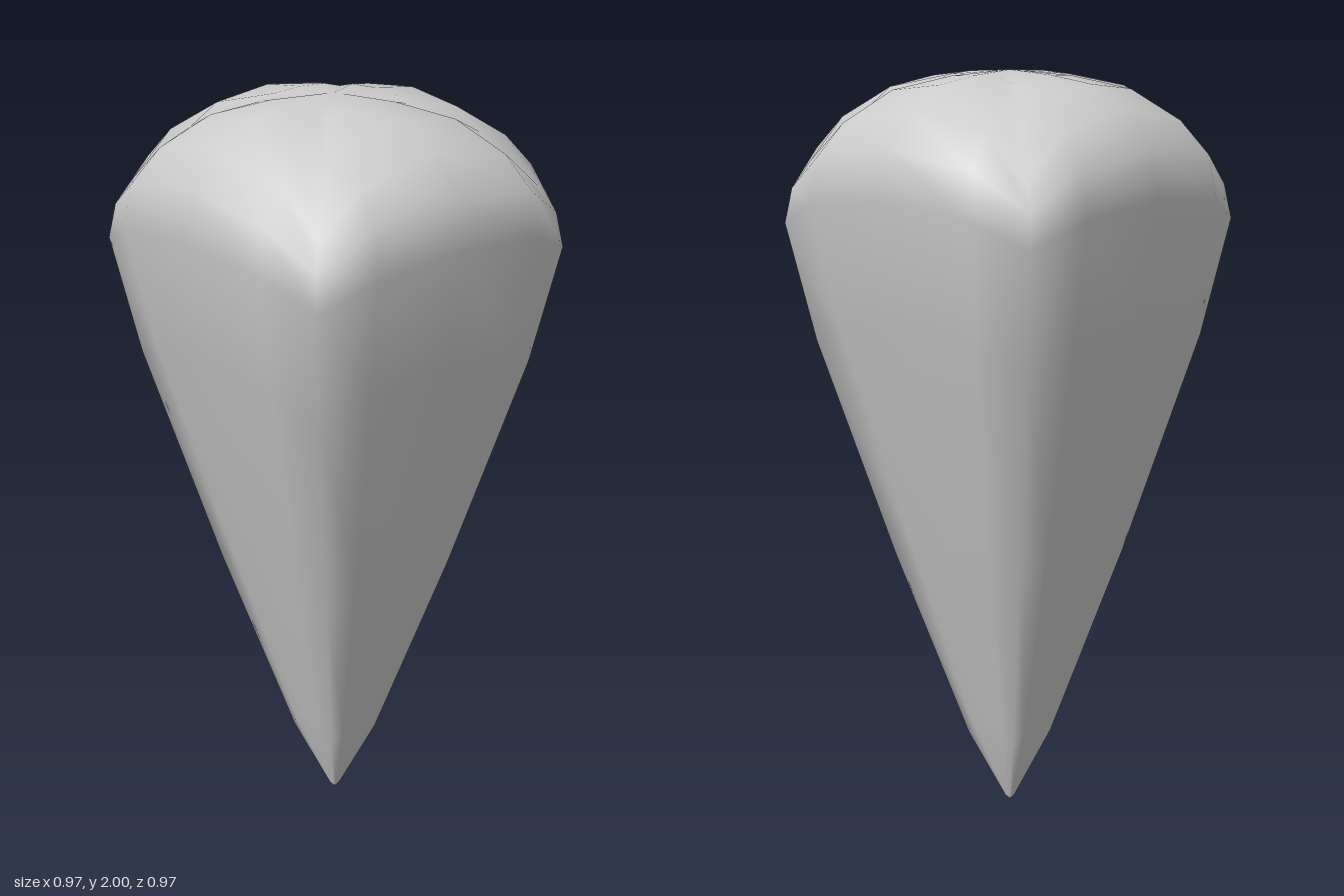
import * as THREE from 'three';

// Rings from top to tip: [side radius, side height, corner offset, corner height]
const RINGS = [
  [0.135, 1.992, 0.13, 1.975],
  [0.265, 1.975, 0.26, 1.905],
  [0.375, 1.92, 0.365, 1.77],
  [0.46, 1.83, 0.4, 1.7],
  [0.483, 1.7, 0.414, 1.61],
  [0.415, 1.38, 0.36, 1.3],
  [0.255, 0.8, 0.217, 0.71],
  [0.1, 0.25, 0.08, 0.2],
  [0.012, 0.015, 0.009, 0.012],
];
const SIDES = 16;

// One rounded-square ring of 16 points whose corners droop below its sides
function ringPoints([r, y, c, cy]) {
  const mix = THREE.MathUtils.lerp;
  const quarter = [
    [r, y, 0],
    [mix(r, c, 0.22), mix(y, cy, 0.3), 0.65 * c],
    [c, cy, c],
    [0.65 * c, mix(y, cy, 0.3), mix(r, c, 0.22)],
  ];
  const points = [];
  for (let q = 0; q < 4; q++) {
    for (const [px, py, pz] of quarter) {
      let x = px, z = pz;
      for (let k = 0; k < q; k++) [x, z] = [-z, x];
      points.push(x, py, z);
    }
  }
  return points;
}

function taperedBody() {
  const positions = [0, 2, 0];
  const index = [];
  for (const ring of RINGS) positions.push(...ringPoints(ring));
  const tip = positions.length / 3;
  positions.push(0, 0, 0);

  const at = (ring, i) => 1 + ring * SIDES + (i % SIDES);
  const last = RINGS.length - 1;
  for (let i = 0; i < SIDES; i++) {
    // crown and tip fans
    index.push(0, at(0, i + 1), at(0, i));
    index.push(at(last, i), at(last, i + 1), tip);
    // walls between rings
    for (let r = 0; r < last; r++) {
      const a = at(r, i), b = at(r, i + 1), c = at(r + 1, i), d = at(r + 1, i + 1);
      index.push(a, b, c, b, d, c);
    }
  }
  const geometry = new THREE.BufferGeometry();
  geometry.setAttribute('position', new THREE.Float32BufferAttribute(positions, 3));
  geometry.setIndex(index);
  geometry.computeVertexNormals();
  return geometry;
}

export function createModel() {
  const group = new THREE.Group();
  group.name = 'taperedSpike';
  const body = new THREE.Mesh(taperedBody(), new THREE.MeshStandardMaterial({ color: 0xcccccc }));
  body.name = 'spikeBody';
  group.add(body);
  return group;
}
